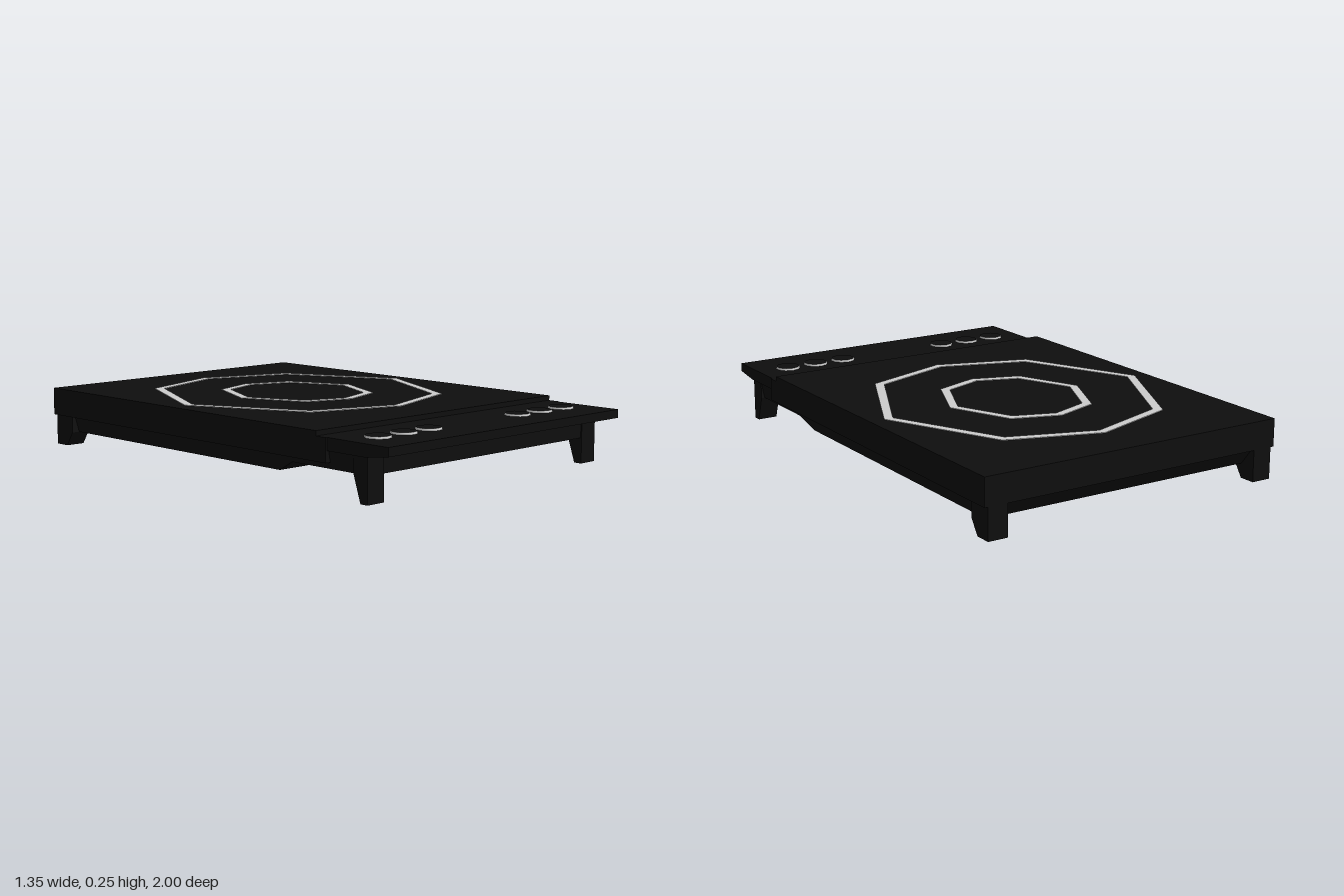
import * as THREE from 'three';

const black = new THREE.MeshStandardMaterial({ color: 0x0e0e0e });
black.name = 'black';
const silver = new THREE.MeshStandardMaterial({ color: 0xcccccc });
silver.name = 'silver';

export function createModel() {
  const model = new THREE.Group();

  function add(name, geometry, material = black) {
    const mesh = new THREE.Mesh(geometry, material);
    mesh.name = name;
    model.add(mesh);
    return mesh;
  }

  // Side outline of [z, y] points, extruded across x and centred on it
  function sideProfile(points, width) {
    const shape = new THREE.Shape(points.map(([z, y]) => new THREE.Vector2(z, y)));
    return new THREE.ExtrudeGeometry(shape, { depth: width, bevelEnabled: false })
      .translate(0, 0, -width / 2)
      .rotateY(-Math.PI / 2);
  }

  // Hull through trapezoid sections [z, half top, half bottom, top y, bottom y]
  function loft(sections) {
    const pos = [], idx = [];
    for (const [z, t, b, yt, yb] of sections) {
      pos.push(t, yt, z, -t, yt, z, -b, yb, z, b, yb, z);
    }
    for (let s = 0; s < sections.length - 1; s++) {
      for (let i = 0; i < 4; i++) {
        const a = s * 4 + i, b = s * 4 + (i + 1) % 4;
        idx.push(a, b, b + 4, a, b + 4, a + 4);
      }
    }
    const e = (sections.length - 1) * 4;
    idx.push(0, 2, 1, 0, 3, 2, e, e + 1, e + 2, e, e + 2, e + 3);
    const g = new THREE.BufferGeometry();
    g.setAttribute('position', new THREE.Float32BufferAttribute(pos, 3));
    g.setIndex(idx);
    const flat = g.toNonIndexed();
    flat.computeVertexNormals();
    return flat;
  }

  // Cooking plate and the lower control panel in front of it
  add('cookingPlate', sideProfile(
    [[-1, 0.13], [0.69, 0.13], [0.69, 0.225], [0.64, 0.225], [0.64, 0.245], [-1, 0.245]], 1.35));
  add('controlPanel', sideProfile(
    [[0.68, 0.175], [0.89, 0.175], [1, 0.19], [1, 0.225], [0.68, 0.225]], 1.335));

  // Tapered tub below, shallower towards the front
  add('basePan', loft([
    [-0.985, 0.66, 0.655, 0.18, 0.13],
    [-0.93, 0.66, 0.625, 0.18, 0.06],
    [0.39, 0.66, 0.625, 0.18, 0.06],
    [0.48, 0.66, 0.645, 0.18, 0.105],
    [0.885, 0.66, 0.645, 0.18, 0.105],
  ]));

  // Four feet
  const frontFoot = sideProfile([[0.82, 0.18], [0.82, 0.105], [0.855, 0], [0.89, 0], [0.89, 0.18]], 0.085);
  const backFoot = sideProfile([[-1, 0.14], [-1, 0], [-0.93, 0], [-0.89, 0.06], [-0.89, 0.14]], 0.085);
  for (const [side, sign] of [['left', 1], ['right', -1]]) {
    add(side + 'FrontFoot', frontFoot).position.x = sign * 0.6175;
    add(side + 'BackFoot', backFoot).position.x = sign * 0.6175;
  }

  // Eight-cornered outline from its side, diagonal and end corners
  function octagon(side, dx, dz, end) {
    return [[side, 0], [dx, dz], [0, end], [-dx, dz], [-side, 0], [-dx, -dz], [0, -end], [dx, -dz]]
      .map(([x, y]) => new THREE.Vector2(x, y));
  }

  // Cooking zone markings
  function zoneRing(name, outer, inner) {
    const shape = new THREE.Shape(octagon(...outer));
    shape.holes.push(new THREE.Path(octagon(...inner)));
    const g = new THREE.ExtrudeGeometry(shape, { depth: 0.003, bevelEnabled: false });
    add(name, g.rotateX(-Math.PI / 2), silver).position.set(0, 0.2445, -0.185);
  }
  zoneRing('outerZoneRing', [0.614, 0.382, 0.485, 0.615], [0.575, 0.354, 0.455, 0.578]);
  zoneRing('innerZoneRing', [0.312, 0.196, 0.262, 0.33], [0.275, 0.17, 0.232, 0.293]);

  // Touch buttons: black faces with silver rims
  const button = new THREE.CylinderGeometry(0.05, 0.053, 0.01, 10);
  for (const sign of [-1, 1]) {
    for (let i = 0; i < 3; i++) {
      add('button', button, [silver, black, black]).position.set(sign * (0.258 + i * 0.136), 0.229, 0.815);
    }
  }
  return model;
}
